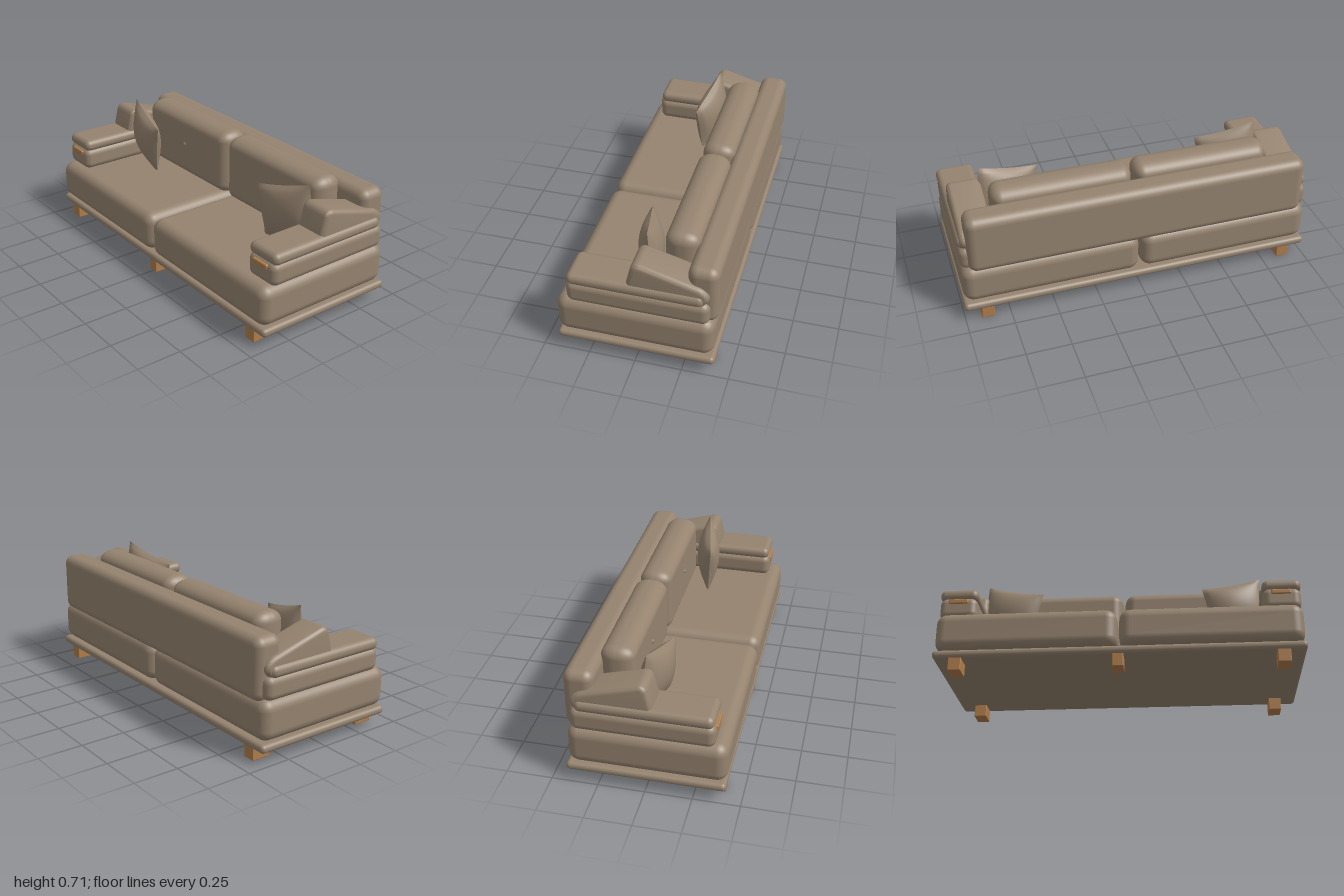
import * as THREE from 'three';
import { mergeGeometries, toCreasedNormals } from 'three/addons/utils/BufferGeometryUtils.js';
import { RoundedBoxGeometry } from 'three/addons/geometries/RoundedBoxGeometry.js';

const fabric = new THREE.MeshStandardMaterial({ color: 0x95836f });
fabric.name = 'taupe fabric';
const wood = new THREE.MeshStandardMaterial({ color: 0xb07d4b });
wood.name = 'oak wood';

function add(parent, name, geometry, material) {
  const mesh = new THREE.Mesh(geometry, material);
  mesh.name = name;
  parent.add(mesh);
  return mesh;
}

// Rounded block given by its limits on each axis; depthScale stretches the rounding along z
function block([x0, x1], [y0, y1], [z0, z1], radius, depthScale = 1) {
  const g = new RoundedBoxGeometry(x1 - x0, y1 - y0, (z1 - z0) / depthScale, 5, radius);
  g.scale(1, 1, depthScale);
  g.translate((x0 + x1) / 2, (y0 + y1) / 2, (z0 + z1) / 2);
  return g;
}

// Sloping armrest bolster: side profile with rounded corners, extruded across the arm
function bolster(width) {
  const bevel = 0.025;
  const points = [[-0.02, 0.5], [0.022, 0.627], [0.335, 0.53], [0.365, 0.5], [0.33, 0.46]]
    .map(([u, v]) => new THREE.Vector2(u, v));
  points[1].set(0.01, 0.622);
  const shape = new THREE.Shape();
  points.forEach((p, i) => {
    const before = points[(i + points.length - 1) % points.length];
    const after = points[(i + 1) % points.length];
    const a = p.clone().add(before.clone().sub(p).setLength(0.018));
    const b = p.clone().add(after.clone().sub(p).setLength(0.018));
    if (i === 0) shape.moveTo(a.x, a.y);
    else shape.lineTo(a.x, a.y);
    shape.quadraticCurveTo(p.x, p.y, b.x, b.y);
  });
  shape.closePath();
  const depth = width - 2 * bevel;
  const g = new THREE.ExtrudeGeometry(shape, {
    depth, bevelEnabled: true, bevelSize: bevel, bevelThickness: bevel, bevelSegments: 5, curveSegments: 5,
  });
  g.translate(0, 0, -depth / 2);
  g.rotateY(Math.PI / 2);
  return toCreasedNormals(g, 0.7);
}

// Scatter pillow: two bulging sheets stretched between four corners
function pillow(side) {
  const topOuter = new THREE.Vector3(0.805, 0.715, -0.025);
  const topInner = new THREE.Vector3(0.465, 0.625, 0.045);
  const lowInner = new THREE.Vector3(0.52, 0.325, 0.02);
  const lowOuter = new THREE.Vector3(0.86, 0.41, -0.06);
  const normal = new THREE.Vector3(0.21, -0.04, 0.97).normalize();
  const sheets = [1, -1].map((face) => {
    const g = new THREE.PlaneGeometry(2, 2, 20, 20);
    if (face < 0) g.rotateY(Math.PI);
    const pos = g.attributes.position;
    for (let i = 0; i < pos.count; i++) {
      const u = pos.getX(i) * side, v = pos.getY(i);
      // Edges curve in slightly between the corners
      const pu = u * (1 - 0.05 * (1 - v * v)), pv = v * (1 - 0.05 * (1 - u * u));
      const low = lowInner.clone().lerp(lowOuter, (pu + 1) / 2);
      const top = topInner.clone().lerp(topOuter, (pu + 1) / 2);
      const bulge = 0.068 * Math.pow(Math.max(0, (1 - u * u) * (1 - v * v)), 0.6);
      const p = low.lerp(top, (pv + 1) / 2).addScaledVector(normal, face * bulge);
      pos.setXYZ(i, p.x * side, p.y, p.z);
    }
    g.computeVertexNormals();
    return g;
  });
  return mergeGeometries(sheets);
}

export function createModel() {
  const sofa = new THREE.Group();
  sofa.name = 'sofa';

  add(sofa, 'basePlatform', block([-1, 1], [0.07, 0.116], [-0.42, 0.42], 0.021), fabric);
  add(sofa, 'backrest', block([-0.955, 0.955], [0.32, 0.656], [-0.424, -0.265], 0.05), fabric);
  add(sofa, 'middleFoot', block([-0.03, 0.03], [0, 0.075], [0.3, 0.408], 0.004), wood);

  for (const side of [1, -1]) {
    const half = new THREE.Group();
    half.name = side > 0 ? 'leftHalf' : 'rightHalf';
    sofa.add(half);
    const span = (a, b) => (side > 0 ? [a, b] : [-b, -a]);

    // Feet
    add(half, 'frontFoot', block(span(0.84, 0.91), [0, 0.075], [0.3, 0.408], 0.004), wood);
    add(half, 'backFoot', block(span(0.84, 0.91), [0, 0.075], [-0.406, -0.3], 0.004), wood);

    // Seat and back cushions
    add(half, 'seatCushion', block(span(0.005, 0.995), [0.115, 0.34], [-0.412, 0.425], 0.06), fabric);
    add(half, 'backCushion', block(span(0.005, 0.785), [0.32, 0.702], [-0.282, -0.1], 0.06, 1.38), fabric);
    const button = add(half, 'button', new THREE.SphereGeometry(0.013, 16, 10), fabric);
    button.position.set(0.395 * side, 0.525, -0.1);
    button.scale.z = 0.6;

    // Arm
    add(half, 'armBase', block(span(0.785, 0.995), [0.332, 0.462], [-0.388, 0.362], 0.04), fabric);
    add(half, 'armPad', block(span(0.785, 0.998), [0.448, 0.516], [-0.36, 0.355], 0.032), fabric);
    add(half, 'armBolster', bolster(0.185), fabric).position.x = 0.89 * side;
    add(half, 'armTab', block(span(0.832, 0.942), [0.417, 0.447], [0.33, 0.368], 0.008), wood);

    add(half, 'scatterPillow', pillow(side), fabric);
  }
  return sofa;
}
